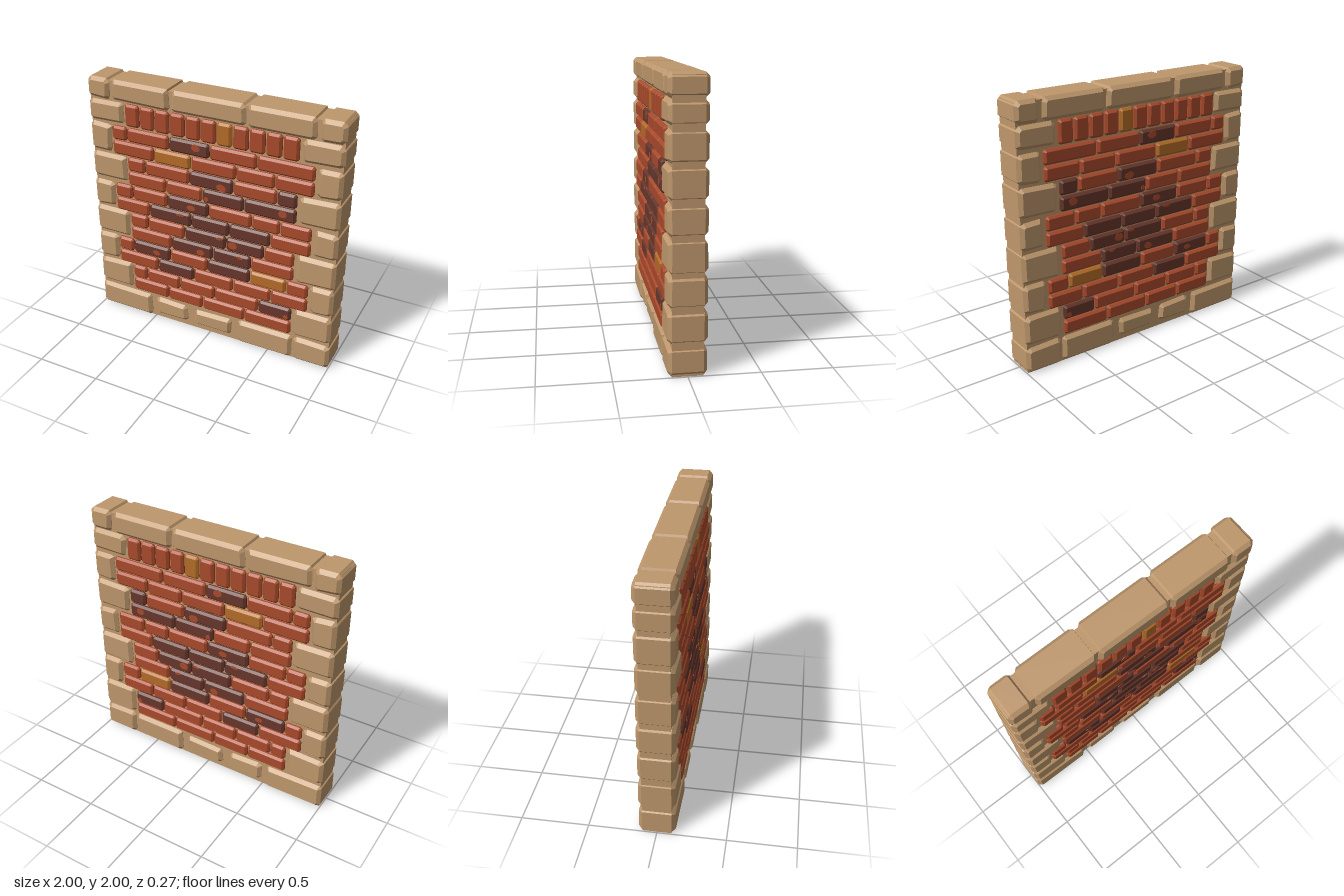
import * as THREE from 'three';

const mat = (name, color) => {
  const m = new THREE.MeshStandardMaterial({ color, flatShading: true });
  m.name = name;
  return m;
};

// Small seeded generator for the worn stone shapes
let seed = 7;
const rand = () => {
  seed = (seed * 16807) % 2147483647;
  return seed / 2147483647;
};
const vary = (a) => (rand() - 0.5) * 2 * a;

// Block with cut corners and bevelled front and back faces
function block(x0, x1, y0, y1, half, cut, bevel, wear = 0) {
  const w = () => rand() * wear;
  // outer wall edges stay straight
  const l = () => x0 + (x0 <= -0.99 ? 0 : w());
  const r = () => x1 - (x1 >= 0.99 ? 0 : w());
  const b = () => y0 + (y0 <= 0.001 ? 0 : w());
  const t = () => y1 - (y1 >= 1.999 ? 0 : w());
  const c = () => cut + w();
  const shape = new THREE.Shape([
    [x0 + c(), b()], [x1 - c(), b()], [r(), y0 + c()], [r(), y1 - c()],
    [x1 - c(), t()], [x0 + c(), t()], [l(), y1 - c()], [l(), y0 + c()],
  ].map((p) => new THREE.Vector2(...p)));
  const geo = new THREE.ExtrudeGeometry(shape, {
    depth: 2 * (half - bevel), bevelEnabled: true, bevelSegments: 1,
    bevelSize: bevel, bevelThickness: bevel, bevelOffset: -bevel,
  });
  geo.translate(0, 0, bevel - half);
  if (wear) {
    // slightly tilted faces
    const p = geo.attributes.position;
    const tx = vary(0.03) / (x1 - x0), ty = vary(0.03) / (y1 - y0);
    const cx = (x0 + x1) / 2, cy = (y0 + y1) / 2;
    for (let i = 0; i < p.count; i++) {
      p.setZ(i, p.getZ(i) * (1 + tx * (p.getX(i) - cx) + ty * (p.getY(i) - cy)));
    }
    geo.computeVertexNormals();
  }
  return geo;
}

export function createModel() {
  seed = 7;
  const stone = mat('sandstone', 0xbe976c);
  const red = mat('red brick', 0xa84a2b);
  const dark = mat('dark brick', 0x66362b);
  const ochre = mat('ochre brick', 0xb36c28);
  const wall = new THREE.Group();
  wall.name = 'brickWall';
  const groups = {};
  const add = (groupName, name, geo, material) => {
    if (!groups[groupName]) {
      groups[groupName] = new THREE.Group();
      groups[groupName].name = groupName;
      wall.add(groups[groupName]);
    }
    const m = new THREE.Mesh(geo, material);
    m.name = name;
    groups[groupName].add(m);
    return m;
  };

  // Mortar core
  const core = new THREE.BoxGeometry(1.98, 1.985, 0.212);
  core.translate(0, 0.9925, 0);
  add('mortar', 'mortarCore', core, stone);

  // Framing stones: [x0, x1, y0, y1]
  const addStone = (name, x0, x1, y0, y1) =>
    add('frameStones', name, block(x0, x1, y0, y1, 0.134, 0.02, 0.026, 0.014), stone);
  [[-1, -0.81], [-0.805, -0.31], [-0.305, 0.285], [0.29, 0.8], [0.81, 1]]
    .forEach(([a, b]) => addStone('copingStone', a, b, 1.835, 2));
  [[-1, -0.525, 0, 0.205], [-0.49, -0.195, 0.035, 0.195], [-0.14, 0.195, 0.035, 0.19],
    [0.24, 0.7, 0, 0.21], [0.705, 1, 0, 0.21]]
    .forEach((s) => addStone('baseStone', ...s));
  // Alternating long and short corner stones up both sides
  const courses = [[0.22, 0.455], [0.465, 0.695], [0.7, 0.935], [0.945, 1.17],
    [1.185, 1.41], [1.42, 1.65], [1.66, 1.835]];
  courses.forEach(([y0, y1], i) => {
    const inner = i % 2 ? 0.815 : 0.695;
    addStone('cornerStone', -1, -inner, y0, y1);
    addStone('cornerStone', inner, 1, y0, y1);
  });

  const addBrick = (name, x0, x1, y0, y1, material) =>
    add('bricks', name, block(x0, x1, y0, y1, 0.135, 0.014, 0.016), material);

  // Upright brick course under the coping
  for (let i = 0; i < 11; i++) {
    const x = -0.687 + i * 0.1252;
    addBrick('uprightBrick', x, x + 0.114, 1.66, 1.832, i === 6 ? ochre : red);
  }

  // Brick rows, bottom to top: joint positions and one colour letter per brick
  const rows = [
    ['rrrr', -0.69, -0.367, -0.06, 0.303, 0.685],
    ['rrrrd', -0.69, -0.56, -0.26, 0.045, 0.415, 0.685],
    ['rdrrr', -0.81, -0.453, -0.135, 0.2, 0.513, 0.805],
    ['rdrdor', -0.81, -0.67, -0.34, -0.015, 0.34, 0.633, 0.805],
    ['rddr', -0.69, -0.325, 0.03, 0.345, 0.685],
    ['rrddr', -0.69, -0.53, -0.21, 0.14, 0.447, 0.685],
    ['rdddr', -0.81, -0.51, -0.15, 0.165, 0.495, 0.805],
    ['rrdrrr', -0.81, -0.655, -0.352, -0.005, 0.345, 0.565, 0.805],
    ['rrdd', -0.69, -0.36, -0.055, 0.28, 0.685],
    ['rrdrd', -0.69, -0.535, -0.16, 0.195, 0.535, 0.685],
    ['rorrr', -0.81, -0.455, -0.147, 0.215, 0.515, 0.805],
    ['rrdrr', -0.81, -0.68, -0.325, 0.005, 0.375, 0.805],
  ];
  const byLetter = { r: red, d: dark, o: ochre };
  rows.forEach(([letters, ...joints], row) => {
    const y = 0.275 + row * 0.1196;
    [...letters].forEach((k, i) =>
      addBrick('brick', joints[i] + 0.004, joints[i + 1] - 0.005, y - 0.054, y + 0.054, byLetter[k]));
  });

  // Worn red patches on dark bricks: [x, y, rx, ry], both faces
  [[-0.1, 1.605, 0.036, 0.028], [0.105, 1.335, 0.04, 0.028], [-0.018, 1.215, 0.018, 0.02],
    [0.585, 1.24, 0.034, 0.028], [-0.145, 1.11, 0.036, 0.022], [-0.24, 1.025, 0.035, 0.01],
    [0.2, 0.877, 0.038, 0.03], [0.09, 0.906, 0.03, 0.01], [-0.07, 0.742, 0.034, 0.026],
    [0.26, 0.785, 0.026, 0.01], [-0.46, 0.63, 0.032, 0.02], [0.645, 0.375, 0.02, 0.018]]
    .forEach(([x, y, rx, ry], i) => {
      const geo = new THREE.CylinderGeometry(1, 1, 0.004, 9);
      geo.rotateX(Math.PI / 2);
      for (const z of [-0.135, 0.135]) {
        const m = add('wornPatches', 'wornPatch', geo, red);
        m.scale.set(rx, ry, 1);
        m.rotation.z = ((i * 37) % 9 - 4) * 0.04;
        m.position.set(x, y, z);
      }
    });

  return wall;
}
